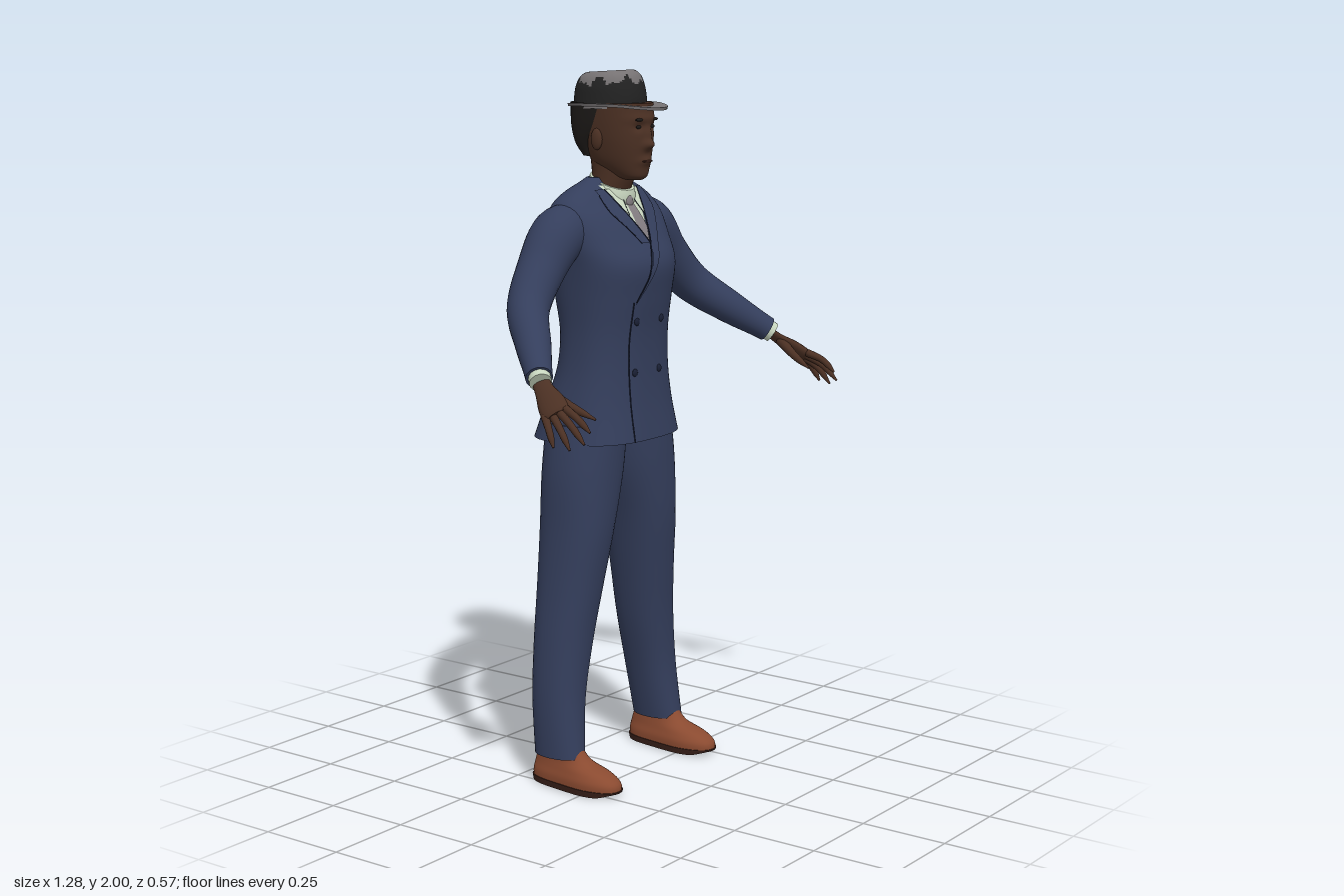
import * as THREE from 'three';

const V = (x, y, z) => new THREE.Vector3(x, y, z);

// smooth interpolation through rows of numbers, t from 0 to 1
function sample(rows, t) {
  const f = Math.min(Math.max(t, 0), 1) * (rows.length - 1);
  const i = Math.min(Math.floor(f), rows.length - 2), u = f - i;
  const r = k => rows[Math.min(Math.max(k, 0), rows.length - 1)];
  return rows[i].map((b, k) => {
    const a = r(i - 1)[k], c = r(i + 1)[k], d = r(i + 2)[k];
    return b + 0.5 * u * (c - a + u * (2 * a - 5 * b + 4 * c - d + u * (3 * (b - c) + d - a)));
  });
}

// grid of points fn(t, s); closed grids wrap round and get end caps; pick(t, s) chooses a material slot
function surface(n, segs, fn, closed = true, pick = null) {
  const pos = [], lists = [[], []], cols = closed ? segs : segs + 1;
  for (let i = 0; i <= n; i++)
    for (let j = 0; j < cols; j++) pos.push(...fn(i / n, j / segs).toArray());
  for (let i = 0; i < n; i++)
    for (let j = 0; j < segs; j++) {
      const k = (j + 1) % cols, a = i * cols + j, b = a + cols, c = i * cols + k, d = c + cols;
      lists[pick ? pick((i + 0.5) / n, (j + 0.5) / segs) : 0].push(a, b, c, c, b, d);
    }
  if (closed) for (const end of [0, 1]) {
    const base = pos.length / 3, mid = V(0, 0, 0);
    for (let j = 0; j < segs; j++) {
      const p = fn(end, j / segs);
      mid.addScaledVector(p, 1 / segs);
      pos.push(...p.toArray());
    }
    pos.push(...mid.toArray());
    for (let j = 0; j < segs; j++) {
      const a = base + j, b = base + (j + 1) % segs, m = base + segs;
      lists[pick ? end : 0].push(...(end ? [a, m, b] : [a, b, m]));
    }
  }
  const g = new THREE.BufferGeometry();
  g.setAttribute('position', new THREE.Float32BufferAttribute(pos, 3));
  g.setIndex(lists.flat());
  if (pick) {
    g.addGroup(0, lists[0].length, 0);
    g.addGroup(lists[0].length, lists[1].length, 1);
  }
  g.computeVertexNormals();
  return g;
}

// stack of rounded sections: [y, centre x, half width, front z, back z, roundness]
function loft(rows, n = 24, segs = 40, deform = null, pick = null) {
  return surface(n, segs, (t, s) => {
    const [y, xc, hx, zf, zb, p] = sample(rows, t), a = s * Math.PI * 2;
    const pw = v => Math.sign(v) * Math.abs(v) ** (2 / p);
    const v = V(xc + hx * pw(Math.cos(a)), y, (zf + zb) / 2 + (zf - zb) / 2 * pw(Math.sin(a)));
    if (deform) deform(v);
    return v;
  }, true, pick);
}

// tapering limb along a path; axis is the wide direction, flat the thickness ratio
function limb(pts, radii, flat = 1, axis = V(0, 0, 1), n = 16, segs = 16) {
  const curve = new THREE.CatmullRomCurve3(pts), rows = radii.map(r => [r]);
  return surface(n, segs, (t, s) => {
    const T = curve.getTangent(t), N = axis.clone().addScaledVector(T, -T.dot(axis)).normalize();
    const B = T.clone().cross(N), r = sample(rows, t)[0], a = s * Math.PI * 2;
    return curve.getPoint(t).addScaledVector(N, r * Math.cos(a)).addScaledVector(B, -r * flat * Math.sin(a));
  });
}

function mirror(geo) {
  const g = geo.clone().scale(-1, 1, 1), ix = g.index.array;
  for (let i = 0; i < ix.length; i += 3) [ix[i], ix[i + 1]] = [ix[i + 1], ix[i]];
  g.computeVertexNormals();
  return g;
}

const ball = (x, y, z, rx, ry, rz) => new THREE.SphereGeometry(1, 16, 12).scale(rx, ry, rz).translate(x, y, z);

const COAT = [
  [0.98, 0, 0.215, 0.05, -0.285, 2.7], [1.08, 0, 0.194, 0.038, -0.255, 2.5], [1.18, 0, 0.176, 0.033, -0.222, 2.4],
  [1.28, 0, 0.17, 0.036, -0.215, 2.4], [1.38, 0, 0.176, 0.05, -0.232, 2.4], [1.47, 0, 0.186, 0.058, -0.24, 2.4],
  [1.54, 0, 0.2, 0.022, -0.238, 2.4], [1.6, 0, 0.205, -0.015, -0.23, 2.4], [1.64, 0, 0.187, -0.045, -0.212, 2.3],
  [1.67, 0, 0.145, -0.065, -0.19, 2.2], [1.69, 0, 0.1, -0.08, -0.17, 2.1], [1.705, 0, 0.072, -0.09, -0.155, 2]];

// z of the coat surface at x, y; side is 1 for front and -1 for back
function coatZ(x, y, side = 1) {
  let lo = 0, hi = 1;
  for (let k = 0; k < 24; k++) {
    const m = (lo + hi) / 2;
    if (sample(COAT, m)[0] < y) lo = m; else hi = m;
  }
  const [, , hx, zf, zb, p] = sample(COAT, lo);
  const q = Math.max(0, 1 - Math.min(1, Math.abs(x) / hx) ** p) ** (1 / p);
  return (zf + zb) / 2 + side * q * (zf - zb) / 2;
}

// thin cloth piece lying on the coat front, between two edges
const patch = (y0, y1, left, right, off) => surface(20, 8, (t, s) => {
  const y = y0 + (y1 - y0) * t, x = right(y) + (left(y) - right(y)) * s;
  return V(x, y, coatZ(x, y) + off);
}, false);

const seam = (pts, side = 1, off = 0.002, r = 0.002) => new THREE.TubeGeometry(
  new THREE.CatmullRomCurve3(pts.map(([x, y]) => V(x, y, coatZ(x, y, side) + side * off))), 30, r, 5);

export function createModel() {
  const root = new THREE.Group();
  const mat = (name, color) => new THREE.MeshStandardMaterial({ name, color, side: THREE.DoubleSide });
  const suit = mat('navy suit', 0x343e5c), line = mat('dark seam', 0x1a2035), skin = mat('skin', 0x4b3023);
  const shirt = mat('pale shirt', 0xc8d6bf), tie = mat('grey tie', 0x827c80), shoe = mat('tan leather', 0x8a4a30);
  const sole = mat('dark brown', 0x3a211a), hair = mat('black hair', 0x1d1a18);
  const felt = mat('grey felt', 0x767273), band = mat('dark felt', 0x222222);
  const add = (name, geo, m) => {
    const mesh = new THREE.Mesh(geo, m);
    mesh.name = name;
    root.add(mesh);
  };
  const pair = (name, geo, m) => {
    add('left ' + name, geo, m);
    add('right ' + name, mirror(geo), m);
  };

  // jacket body, lapels, seams and buttons
  add('jacket', loft(COAT, 60, 64), suit);
  const edge = y => 0.5 * (y - 1.53);
  const lapelWidth = y => y > 1.62 ? 0.055 - (y - 1.62) * 0.45 : 0.055 * Math.max(0, (y - 1.36) / 0.26);
  add('left lapel', patch(1.365, 1.675, edge, y => edge(y) + lapelWidth(y), 0.009), suit);
  add('right lapel', patch(1.53, 1.675, y => -edge(y) - lapelWidth(y), y => -edge(y), 0.007), suit);
  const ys = [1.675, 1.62, 1.57, 1.53];
  add('left lapel edge', seam([...ys, 1.45, 1.37].map(y => [edge(y), y]), 1, 0.009), line);
  add('right lapel edge', seam(ys.map(y => [-edge(y), y]), 1, 0.007), line);
  pair('lapel outline', seam([1.66, 1.62, 1.57, 1.53].map(y => [edge(y) + lapelWidth(y), y]), 1, 0.007, 0.0014), line);
  add('front closing', seam([[-0.08, 1.37], [-0.083, 1.25], [-0.083, 1.1], [-0.083, 0.98]], 1, 0.0005), line);
  add('back vent', seam([[0, 0.98], [0, 1.03], [0, 1.08], [0, 1.13]], -1, 0.0005, 0.003), line);
  for (const x of [-0.062, 0.047])
    for (const y of [1.315, 1.172]) add('button', ball(x, y, coatZ(x, y), 0.011, 0.011, 0.005), line);

  // shirt front, collar and tie
  add('shirt front', patch(1.53, 1.685, y => -edge(y), edge, 0.003), shirt);
  add('tie', patch(1.532, 1.635, y => -Math.min(edge(y), 0.023 - 0.1 * Math.max(0, y - 1.56)),
    y => Math.min(edge(y), 0.023 - 0.1 * Math.max(0, y - 1.56)), 0.006), tie);
  add('tie knot', ball(0, 1.637, coatZ(0, 1.637) + 0.004, 0.017, 0.02, 0.01), tie);
  pair('collar point', patch(1.605, 1.675, y => 0.034 - (y - 1.605) * 0.25, y => 0.036 + (y - 1.605) * 0.5, 0.009), shirt);
  pair('collar crease', seam([[0.02, 1.66], [0.028, 1.63], [0.035, 1.605]], 1, 0.009, 0.0012), line);
  add('collar band', loft([[1.665, 0, 0.078, -0.035, -0.165, 2], [1.69, 0, 0.07, -0.034, -0.16, 2],
    [1.707, 0, 0.064, -0.036, -0.156, 2]], 8, 40, v => { v.y -= (v.z + 0.13) * 0.4; }), shirt);

  // sleeves, cuffs and hands
  pair('sleeve', limb([V(0.12, 1.575, -0.13), V(0.2, 1.555, -0.128), V(0.29, 1.465, -0.122), V(0.375, 1.375, -0.095),
    V(0.46, 1.295, -0.01), V(0.538, 1.227, 0.072)], [0.066, 0.077, 0.066, 0.058, 0.048, 0.036], 1, V(0, 0, 1), 36, 28), suit);
  pair('cuff', limb([V(0.53, 1.234, 0.064), V(0.547, 1.217, 0.084)], [0.03, 0.03], 1), shirt);
  const across = V(-0.47, 0.375, 0.8), knuckle = V(0.588, 1.152, 0.165);
  pair('palm', limb([V(0.535, 1.225, 0.07), V(0.553, 1.2, 0.1), V(0.573, 1.173, 0.138), knuckle, V(0.592, 1.146, 0.173)],
    [0.024, 0.026, 0.037, 0.038, 0.03], 0.45, across), skin);
  const tips = [V(0.586, 1.112, 0.275), V(0.606, 1.084, 0.272), V(0.623, 1.068, 0.238), V(0.635, 1.072, 0.195)];
  tips.forEach((tip, i) => {
    const from = knuckle.clone().addScaledVector(across, 0.029 - i * 0.0193);
    const mid = from.clone().lerp(tip, 0.5).add(V(0.006, 0.006, 0.004));
    pair('finger', limb([from, mid, tip], [0.0115, 0.0105, 0.0095, 0.0085, 0.003], 1, across, 12, 10), skin);
  });
  pair('thumb', limb([V(0.552, 1.195, 0.11), V(0.53, 1.16, 0.17), V(0.51, 1.13, 0.235)],
    [0.016, 0.014, 0.012, 0.009, 0.003], 1, across, 12, 10), skin);

  // trousers and shoes
  pair('trouser leg', loft([[0.09, 0.235, 0.053, -0.03, -0.185, 2.2], [0.25, 0.219, 0.067, -0.046, -0.2, 2.2],
    [0.41, 0.194, 0.079, -0.042, -0.208, 2.2], [0.57, 0.17, 0.085, -0.024, -0.213, 2.2], [0.73, 0.148, 0.094, -0.004, -0.217, 2.2],
    [0.89, 0.123, 0.112, 0.002, -0.22, 2.2], [1.03, 0.103, 0.11, 0.002, -0.22, 2.2]], 36, 36), suit);
  const footShape = v => {
    const back = THREE.MathUtils.smoothstep(-v.z, -0.03, 0.12);
    v.x = 0.23 + (v.x - 0.23) * (1 - 0.2 * back);
  };
  pair('sole', loft([[0, 0.23, 0.058, 0.096, -0.2, 2.4], [0.018, 0.23, 0.061, 0.1, -0.204, 2.4]], 3, 36, v => {
    footShape(v);
    if (v.y < 0.01) v.y += 0.012 * THREE.MathUtils.smoothstep(v.z, 0.04, 0.1);
  }), sole);
  pair('shoe', loft([[0.014, 0.23, 0.058, 0.097, -0.2, 2.4], [0.036, 0.23, 0.058, 0.093, -0.2, 2.4],
    [0.058, 0.23, 0.051, 0.062, -0.195, 2.3], [0.082, 0.23, 0.045, -0.005, -0.188, 2.2],
    [0.12, 0.233, 0.042, -0.04, -0.175, 2.1]], 16, 36, footShape), shoe);

  // head, with nose, brow and lips raised from the face
  const bump = (v, y, w, h, d) => { v.z += d * Math.exp(-((v.x / w) ** 2) - ((v.y - y) / h) ** 2); };
  add('neck', loft([[1.62, 0, 0.064, -0.065, -0.165, 2], [1.67, 0, 0.057, -0.045, -0.155, 2],
    [1.72, 0, 0.054, -0.025, -0.155, 2], [1.79, 0, 0.056, -0.02, -0.165, 2]], 12, 32), skin);
  add('head', loft([[1.7, 0, 0.02, 0.004, -0.05, 2.1], [1.712, 0, 0.042, 0.017, -0.09, 2.1], [1.75, 0, 0.064, 0.022, -0.15, 2.2],
    [1.8, 0, 0.076, 0.027, -0.178, 2.3], [1.85, 0, 0.082, 0.028, -0.197, 2.3], [1.91, 0, 0.085, 0.026, -0.2, 2.2]], 64, 80, v => {
    if (v.z < -0.02) return;
    const x = v.x;
    bump(v, 1.797, 0.017, 0.013, 0.02);
    bump(v, 1.823, 0.011, 0.022, 0.011);
    bump(v, 1.752, 0.026, 0.012, 0.008);
    bump(v, 1.868, 0.06, 0.012, 0.005);
    v.z -= 0.007 * Math.exp(-(((Math.abs(x) - 0.031) / 0.015) ** 2) - ((v.y - 1.846) / 0.012) ** 2);
  }), skin);
  pair('ear', ball(0.081, 1.812, -0.088, 0.011, 0.03, 0.018), skin);
  pair('eye', ball(0.031, 1.846, 0.018, 0.011, 0.005, 0.004), hair);
  pair('eyebrow', ball(0.033, 1.866, 0.023, 0.018, 0.0045, 0.006), hair);
  add('mouth', ball(0, 1.752, 0.026, 0.022, 0.004, 0.006), sole);
  add('hair', loft([[1.763, 0, 0.058, -0.12, -0.168, 2.2], [1.8, 0, 0.075, -0.105, -0.193, 2.3],
    [1.85, 0, 0.086, -0.055, -0.21, 2.3], [1.91, 0, 0.091, -0.02, -0.214, 2.2]], 20, 40), hair);

  // hat: flat brim and pinched crown with a worn dark band
  add('hat brim', loft([[1.896, 0, 0.105, 0.074, -0.229, 2], [1.904, 0, 0.107, 0.076, -0.231, 2]], 2, 56,
    v => { v.y += 0.5 * v.x * v.x - (v.z > 0 ? v.z * 0.06 : 0); }), felt);
  const crown = [[1.895, 0, 0.092, 0.002, -0.207, 2.1], [1.925, 0, 0.09, 0.002, -0.205, 2.1], [1.955, 0, 0.086, -0.004, -0.2, 2.1],
    [1.982, 0, 0.075, -0.016, -0.188, 2.1], [1.995, 0, 0.056, -0.036, -0.168, 2], [1.987, 0, 0.034, -0.06, -0.152, 2],
    [1.97, 0, 0.018, -0.075, -0.14, 2], [1.966, 0, 0.004, -0.1, -0.115, 2]];
  add('hat crown', loft(crown, 56, 72, v => { v.y += Math.max(0, v.y - 1.93) * (v.z + 0.1) * 1.0; }, (t, s) => {
    const a = s * Math.PI * 2, rough = Math.sin(7 * a) + Math.sin(13 * a + 1) * 0.7 + Math.sin(23 * a) * 0.4;
    const inBand = t > 0.08 && t < 0.35 + 0.045 * rough;
    return inBand || t > 0.71 + 0.03 * rough ? 1 : 0;
  }), [felt, band]);
  return root;
}
